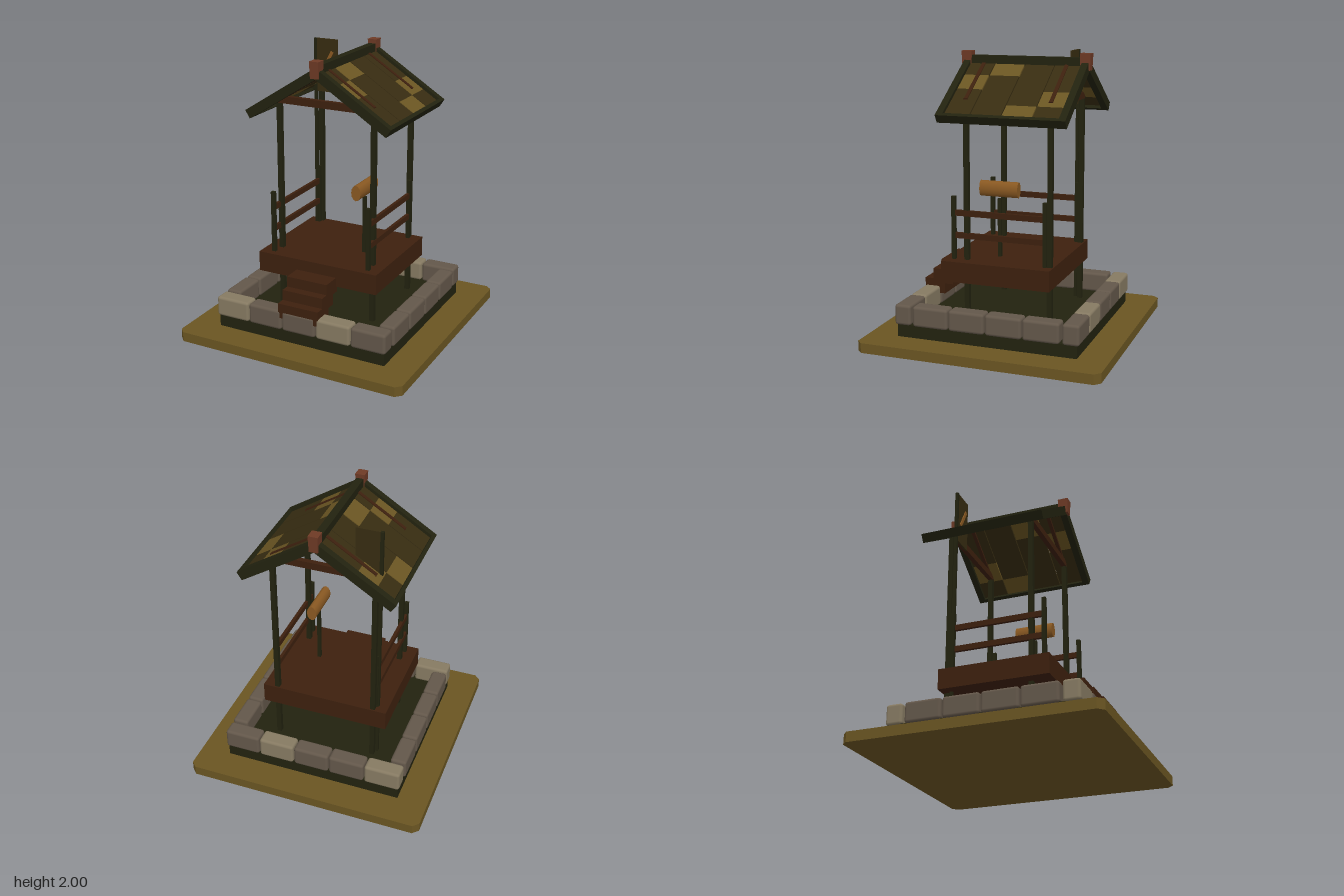
import * as THREE from 'three';
import { RoundedBoxGeometry } from 'three/addons/geometries/RoundedBoxGeometry.js';

const mat = (name, color) => {
  const m = new THREE.MeshStandardMaterial({ color });
  m.name = name;
  return m;
};

export function createModel() {
  const M = {
    ochre: mat('ochre', 0x6a5522),
    timber: mat('dark timber', 0x22220f),
    wood: mat('brown wood', 0x3d200e),
    stone: mat('grey stone', 0x63574a),
    paleStone: mat('pale stone', 0x867a62),
    roof: mat('roof board', 0x372c11),
    cap: mat('ridge cap', 0x6e3a25),
    lantern: mat('lantern', 0x8a5922),
  };
  const model = new THREE.Group();
  model.name = 'pavilion';

  const group = (name, parent = model) => {
    const g = new THREE.Group();
    g.name = name;
    parent.add(g);
    return g;
  };
  const add = (parent, name, geometry, material, x = 0, y = 0, z = 0) => {
    const mesh = new THREE.Mesh(geometry, material);
    mesh.name = name;
    mesh.position.set(x, y, z);
    parent.add(mesh);
    return mesh;
  };
  // Box given by its extents on each axis
  const box = (parent, name, material, [x0, x1], [y0, y1], [z0, z1]) =>
    add(parent, name, new THREE.BoxGeometry(x1 - x0, y1 - y0, z1 - z0), material,
      (x0 + x1) / 2, (y0 + y1) / 2, (z0 + z1) / 2);
  const around = (c, w) => [c - w / 2, c + w / 2];

  // Ground slab with clipped corners
  const a = 0.86, b = 0.82;
  const outline = new THREE.Shape(
    [[a, b], [b, a], [-b, a], [-a, b], [-a, -b], [-b, -a], [b, -a], [a, -b]]
      .map(([x, y]) => new THREE.Vector2(x, y)));
  const slab = new THREE.ExtrudeGeometry(outline, { depth: 0.07, bevelEnabled: false });
  slab.rotateX(-Math.PI / 2);
  add(model, 'groundSlab', slab, M.ochre);
  box(model, 'plinth', M.timber, [-0.645, 0.645], [0.07, 0.16], [-0.645, 0.645]);

  // Ring of rounded stones
  const stones = group('stoneBorder');
  const stone = (material, w, d, x, z) =>
    add(stones, 'stone', new RoundedBoxGeometry(w, 0.145, d, 2, 0.02), material, x, 0.2275, z);
  for (const z of [-0.603, 0.603]) {
    for (let i = 0; i < 5; i++) {
      stone(i % 3 === 0 ? M.paleStone : M.stone, 0.257, 0.118, (i - 2) * 0.264, z);
    }
  }
  for (const x of [-0.604, 0.604]) {
    for (let i = 0; i < 4; i++) stone(M.stone, 0.115, 0.257, x, (i - 1.5) * 0.265);
  }

  // Deck and entrance steps
  box(model, 'deck', M.wood, [-0.46, 0.46], [0.44, 0.585], [-0.392, 0.395]);
  const steps = group('steps');
  for (let i = 0; i < 3; i++) {
    const y = 0.505 - i * 0.075, z = 0.53 + i * 0.064;
    box(steps, 'step', M.wood, [-0.155, 0.155], [y - 0.107, y], [z - 0.155, z]);
  }

  // Corner posts and side railings
  const posts = group('posts'), railings = group('railings');
  for (const s of [-1, 1]) {
    for (const z of [0.238, -0.365]) {
      box(posts, 'post', M.timber, around(s * 0.36, 0.034), [0.15, 1.69], around(z, 0.034));
    }
    for (const z of [0.332, -0.332]) {
      box(railings, 'railPost', M.timber, around(s * 0.37, 0.028), [0.58, 1.03], around(z, 0.028));
    }
    for (const y of [0.755, 0.914]) {
      box(railings, 'rail', M.wood, around(s * 0.37, 0.022), around(y, 0.04), [-0.335, 0.335]);
    }
  }

  // Lantern above its stand
  box(model, 'lanternStand', M.timber, around(0.205, 0.024), [0.58, 1.0], around(0.055, 0.024));
  const drum = new THREE.CylinderGeometry(1, 1, 0.28, 12);
  drum.rotateX(Math.PI / 2);
  drum.scale(0.036, 0.056, 1);
  add(model, 'lantern', drum, M.lantern, 0.205, 1.066, 0.055);

  // Roof: beams that follow the slope, measured along it from the ridge
  const roof = group('roof');
  const pitch = Math.atan(0.635);
  const sloped = (parent, name, material, s, x0, x1, ridgeY, thick, z0, z1) => {
    const xm = (x0 + x1) / 2;
    const m = add(parent, name,
      new THREE.BoxGeometry((x1 - x0) / Math.cos(pitch), thick, z1 - z0), material,
      s * xm, ridgeY - 0.635 * xm, (z0 + z1) / 2);
    m.rotation.z = -s * pitch;
    return m;
  };
  const strips = [[-0.48, -0.283], [-0.277, -0.069], [-0.062, 0.151], [0.158, 0.345]];
  const cuts = [0, 0.132, 0.264, 0.396, 0.51];
  const patched = [2, 3, 0, 1];
  for (const s of [-1, 1]) {
    const side = group(s > 0 ? 'leftSlope' : 'rightSlope', roof);
    strips.forEach(([z0, z1], i) => {
      for (let j = 0; j < 4; j++) {
        sloped(side, 'roofBoard', patched[i] === j ? M.ochre : M.roof,
          s, cuts[j], cuts[j + 1], 1.918, 0.02, z0, z1);
      }
    });
    sloped(side, 'frontBargeBoard', M.timber, s, 0, 0.53, 1.917, 0.065, 0.337, 0.385);
    sloped(side, 'backBargeBoard', M.timber, s, 0, 0.53, 1.917, 0.065, -0.52, -0.472);
    sloped(side, 'eaveBeam', M.timber, s, 0.507, 0.53, 1.917, 0.064, -0.515, 0.38);
    for (const z of [0.238, -0.365]) {
      sloped(side, 'rafter', M.wood, s, 0, 0.355, 1.911, 0.044, z - 0.013, z + 0.013);
    }
  }
  box(roof, 'ridgeBeam', M.timber, [-0.026, 0.026], [1.9, 1.97], [-0.5, 0.37]);
  for (const z of [0.238, -0.365]) {
    box(roof, 'tieBeam', M.wood, [-0.365, 0.365], [1.652, 1.702], around(z, 0.036));
  }

  // Ridge caps: blocks narrowed towards the bottom
  for (const z of [0.367, -0.497]) {
    const g = new THREE.BoxGeometry(0.068, 0.115, 0.076);
    const p = g.attributes.position;
    for (let i = 0; i < p.count; i++) {
      if (p.getY(i) < 0) p.setXYZ(i, p.getX(i) * 0.88, p.getY(i), p.getZ(i) * 0.88);
    }
    g.computeVertexNormals();
    add(roof, 'ridgeCap', g, M.cap, 0, 1.9425, z);
  }

  // Banner on a tall pole beside the back right post
  const banner = group('banner');
  box(banner, 'bannerPole', M.timber, around(-0.383, 0.022), [0.15, 2.0], around(-0.325, 0.022));
  box(banner, 'bannerPanel', M.roof, [-0.385, -0.208], [1.61, 2.0], around(-0.325, 0.014));
  const stripe = box(banner, 'bannerStripe', M.lantern,
    around(-0.29, 0.024), around(1.83, 0.18), around(-0.315, 0.008));
  stripe.rotation.z = -0.5;

  return model;
}
